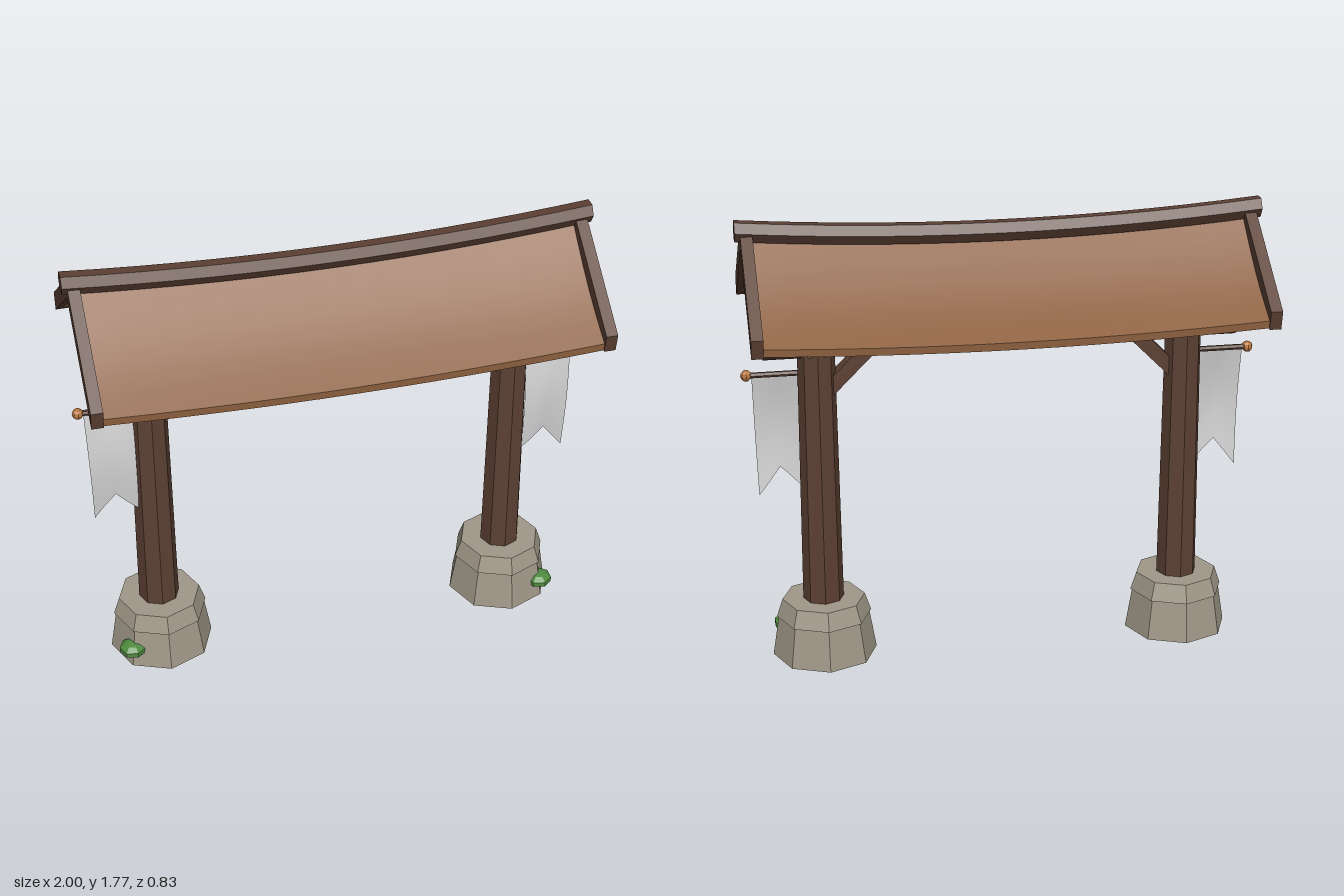
import * as THREE from 'three';
import { toCreasedNormals } from 'three/addons/utils/BufferGeometryUtils.js';

function material(name, color, side = THREE.FrontSide) {
  const m = new THREE.MeshStandardMaterial({ color, side });
  m.name = name;
  return m;
}

// Faceted normals for the low-poly parts
function flat(geometry) {
  const g = geometry.index ? geometry.toNonIndexed() : geometry;
  g.computeVertexNormals();
  return g;
}

// Move every vertex by a rule
function warp(geometry, rule) {
  const p = geometry.attributes.position;
  const v = new THREE.Vector3();
  for (let i = 0; i < p.count; i++) {
    rule(v.fromBufferAttribute(p, i));
    p.setXYZ(i, v.x, v.y, v.z);
  }
  geometry.computeVertexNormals();
  return geometry;
}

const sag = (x, depth) => depth * (1 - Math.min(1, x * x));

export function createModel() {
  const darkWood = material('dark wood', 0x5c4033);
  const roofWood = material('roof wood', 0x8b5e3c);
  const signWood = material('sign wood', 0xb08050);
  const copper = material('copper', 0xb87840);
  const stone = material('stone', 0xa09888);
  const rope = material('rope', 0xb5a470);
  const moss = material('moss', 0x4f8a3f);
  const cloth = material('cloth', 0xd2d2d2, THREE.DoubleSide);

  const model = new THREE.Group();
  model.name = 'roofedGateway';

  function add(parent, name, geometry, mat, x = 0, y = 0, z = 0) {
    const mesh = new THREE.Mesh(geometry, mat);
    mesh.name = name;
    mesh.position.set(x, y, z);
    parent.add(mesh);
    return mesh;
  }

  // Sagging roof panels, slightly dished from ridge to eave
  for (const back of [false, true]) {
    const panel = warp(new THREE.BoxGeometry(1.91, 0.028, 1, 14, 1, 6), (v) => {
      const u = v.z + 0.5;
      v.y += 1.688 - 0.302 * u - 0.022 * Math.sin(Math.PI * u) - sag(v.x / 0.95, 0.045 - 0.017 * u);
      v.z = 0.4 * u;
    });
    if (back) panel.rotateY(Math.PI);
    add(model, back ? 'backRoofPanel' : 'frontRoofPanel', toCreasedNormals(panel, 0.6), roofWood);
  }

  // Ridge beam following the sag
  const ridge = new THREE.CylinderGeometry(0.042, 0.042, 2, 6, 14).rotateZ(Math.PI / 2);
  add(model, 'ridgeBeam', flat(warp(ridge, (v) => { v.y += 1.73 - sag(v.x, 0.045); })), darkWood);

  // Gable boards at both roof ends
  const gable = new THREE.Shape([
    [0, 1.74], [0.414, 1.437], [0.402, 1.365], [0, 1.665], [-0.402, 1.365], [-0.414, 1.437],
  ].map(([z, y]) => new THREE.Vector2(z, y)));
  for (const side of [-1, 1]) {
    const g = new THREE.ExtrudeGeometry(gable, { depth: 0.045, bevelEnabled: false });
    g.translate(0, 0, -0.0225).rotateY(Math.PI / 2);
    add(model, 'gableBoard', g, darkWood, side * 0.957);
  }

  // Cross beam with a lighter purlin resting on it
  const beam = new THREE.CylinderGeometry(0.077, 0.077, 1.83, 8, 1, false, Math.PI / 8);
  add(model, 'crossBeam', flat(beam.rotateZ(Math.PI / 2)), darkWood, 0, 1.305, 0);
  add(model, 'purlin', new THREE.BoxGeometry(1.64, 0.085, 0.07), roofWood, 0, 1.417, 0);

  // Blank sign board with two pegs
  add(model, 'signBoard', new THREE.BoxGeometry(0.39, 0.16, 0.03), signWood, 0, 1.307, 0.083);
  for (const side of [-1, 1]) {
    add(model, 'signPeg', flat(new THREE.SphereGeometry(0.019, 8, 6)), copper, side * 0.145, 1.3, 0.106);
  }

  for (const side of [-1, 1]) {
    const half = new THREE.Group();
    half.name = side > 0 ? 'leftPost' : 'rightPost';
    model.add(half);
    const px = side * 0.713;

    // Stone footing with a chamfered cap
    add(half, 'footing', flat(new THREE.CylinderGeometry(0.178, 0.205, 0.165, 8)), stone, px, 0.0825, 0);
    add(half, 'footingCap', flat(new THREE.CylinderGeometry(0.162, 0.186, 0.072, 8)), stone, px, 0.198, 0);

    // Moss clump on the outer front corner
    const clump = new THREE.SphereGeometry(1, 7, 5).scale(0.056, 0.032, 0.056);
    add(half, 'moss', flat(clump), moss, side * 0.85, 0.075, 0.125);

    // Tapered post and diagonal brace
    add(half, 'post', flat(new THREE.CylinderGeometry(0.07, 0.08, 1.23, 8)), darkWood, px, 0.815, 0);
    const brace = add(half, 'brace', new THREE.BoxGeometry(0.055, 0.26, 0.06), darkWood, side * 0.595, 1.175, 0);
    brace.rotation.z = side * Math.PI / 4;

    // Crossed rope lashing
    for (const tilt of [-0.36, 0.36]) {
      const ring = new THREE.TorusGeometry(0.07, 0.03, 5, 8).rotateX(Math.PI / 2);
      ring.rotateZ(tilt).scale(0.75, 1, 1);
      add(half, 'lashing', flat(ring), rope, px, 1.285, 0);
    }

    // Banner rod and finial
    const rod = new THREE.CylinderGeometry(0.011, 0.011, 0.24, 6).rotateZ(Math.PI / 2);
    add(half, 'bannerRod', flat(rod), darkWood, side * 0.86, 1.163, 0.012);
    add(half, 'rodFinial', flat(new THREE.SphereGeometry(0.022, 8, 6)), copper, side * 0.978, 1.163, 0.012);

    // Swallow-tailed banner, gently rippled
    const banner = warp(new THREE.PlaneGeometry(1, 1, 8, 10), (v) => {
      const a = v.x + 0.5;
      const t = 0.5 - v.y;
      const tail = a < 0.5 ? 0.69 + 0.18 * a : 0.78 - 0.22 * (a - 0.5);
      v.x = side * (0.775 + (0.183 - 0.012 * t) * a);
      v.y = 1.16 + (tail - 1.16) * t;
      v.z = 0.013 + 0.014 * t + 0.018 * Math.sin(Math.PI * t) + 0.008 * t * Math.sin(a * 5);
    });
    add(half, 'banner', banner, cloth);
  }

  return model;
}
